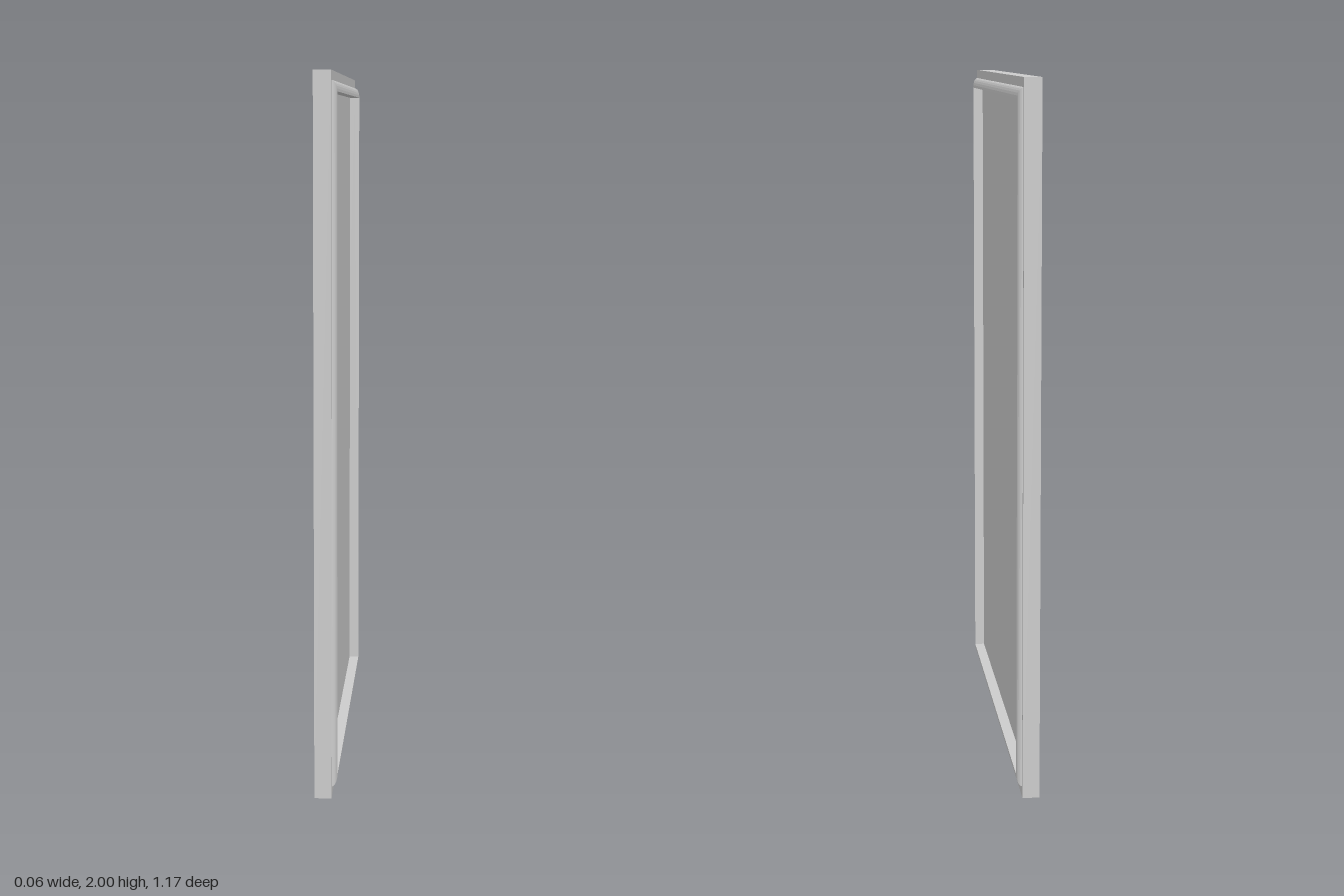
import * as THREE from 'three';

const material = new THREE.MeshStandardMaterial({ color: 0xcccccc, flatShading: true });

// Key depths along x, facing +x
const BACK = -0.032, FACE = 0.016, RIM = 0.031, PANEL = 0.001;
// Rectangles in the z/y plane
const BORDER = { z: 0.587, y0: 0, y1: 2 };
const OUTER = { z: 0.576, y0: 0.031, y1: 1.974 };
const INNER = { z: 0.556, y0: 0.061, y1: 1.944 };

function add(group, name, geometry) {
  const mesh = new THREE.Mesh(geometry, material);
  mesh.name = name;
  group.add(mesh);
  return mesh;
}

function rectPoints(r) {
  return [[-r.z, r.y0], [r.z, r.y0], [r.z, r.y1], [-r.z, r.y1]].map(p => new THREE.Vector2(...p));
}

// Joins successive rectangular rings { x, z, y0, y1 } with mitred corners
function loftRings(rings) {
  const positions = [], index = [];
  for (const r of rings)
    for (const p of rectPoints(r)) positions.push(r.x, p.y, p.x);
  for (let i = 0; i < rings.length - 1; i++)
    for (let j = 0; j < 4; j++) {
      const a = i * 4 + j, b = i * 4 + (j + 1) % 4;
      index.push(a, a + 4, b, b, a + 4, b + 4);
    }
  const g = new THREE.BufferGeometry();
  g.setAttribute('position', new THREE.Float32BufferAttribute(positions, 3));
  g.setIndex(index);
  const flat = g.toNonIndexed();
  flat.computeVertexNormals();
  return flat;
}

export function createModel() {
  const group = new THREE.Group();
  group.name = 'framedPanel';

  // Square-edged frame around the opening
  const shape = new THREE.Shape(rectPoints(BORDER));
  shape.holes.push(new THREE.Path(rectPoints(INNER)));
  const frameGeo = new THREE.ExtrudeGeometry(shape, { depth: FACE - BACK, bevelEnabled: false });
  frameGeo.rotateY(Math.PI / 2).translate(BACK, 0, 0);
  add(group, 'frame', frameGeo);

  // Recessed flat panel filling the opening
  const h = INNER.y1 - INNER.y0;
  const panel = add(group, 'panel', new THREE.BoxGeometry(PANEL - BACK, h, INNER.z * 2));
  panel.position.set((PANEL + BACK) / 2, INNER.y0 + h / 2, 0);

  // Quarter-round moulding rising toward the opening, then dropping to the frame face
  const rings = [];
  const steps = 6;
  for (let i = 0; i <= steps; i++) {
    const a = (i / steps) * Math.PI / 2;
    const t = 1 - Math.cos(a);
    rings.push({
      x: FACE + (RIM - FACE) * Math.sin(a),
      z: THREE.MathUtils.lerp(OUTER.z, INNER.z, t),
      y0: THREE.MathUtils.lerp(OUTER.y0, INNER.y0, t),
      y1: THREE.MathUtils.lerp(OUTER.y1, INNER.y1, t),
    });
  }
  rings.push({ x: FACE, ...INNER });
  add(group, 'moulding', loftRings(rings));

  return group;
}
